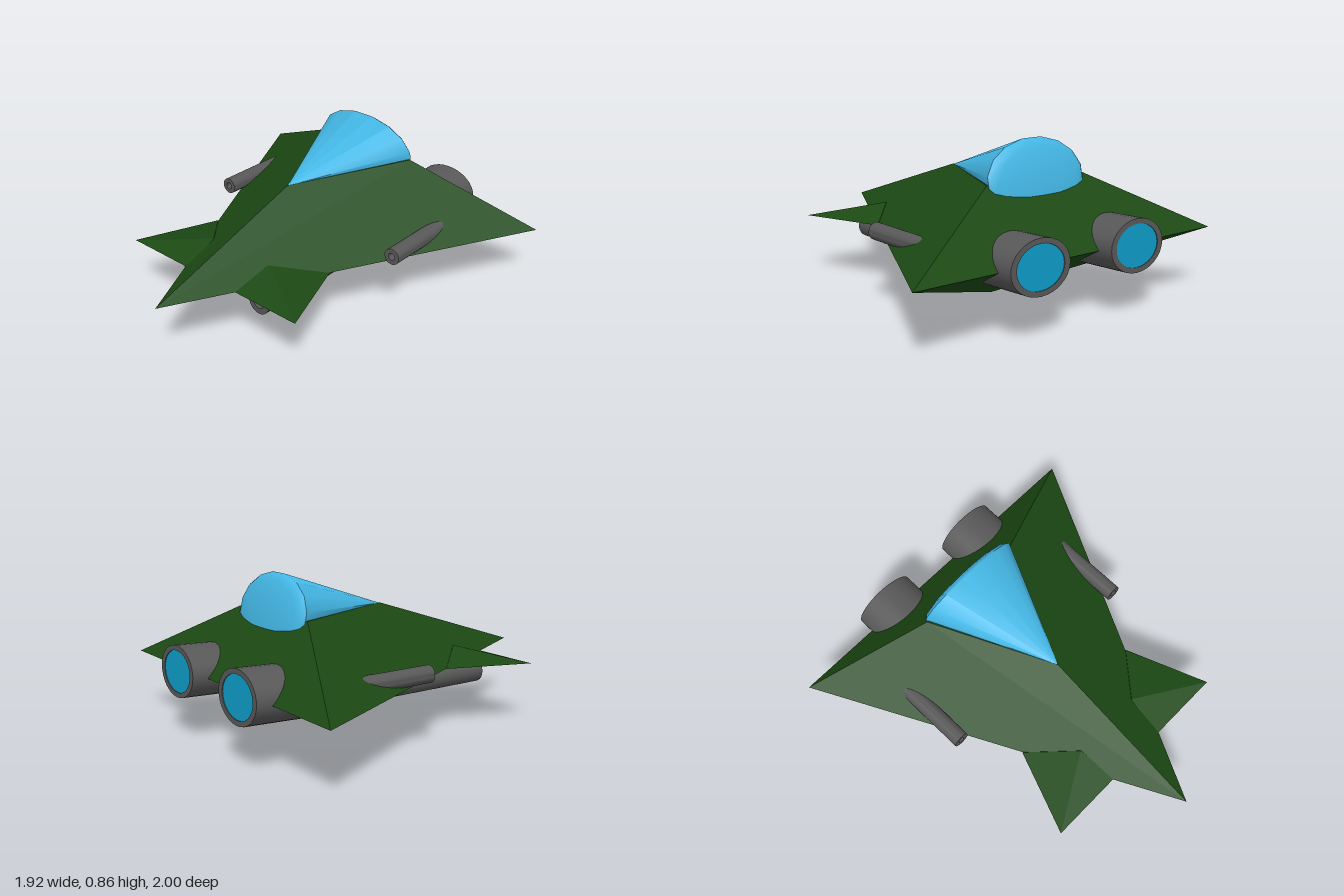
import * as THREE from 'three';
import { ConvexGeometry } from 'three/addons/geometries/ConvexGeometry.js';
import { toCreasedNormals } from 'three/addons/utils/BufferGeometryUtils.js';

const mat = (color) => new THREE.MeshStandardMaterial({ color });
const green = mat(0x1c4a14);
const glass = mat(0x44b8e6);
const metal = mat(0x585858);
const black = mat(0x080808);
const glow = mat(0x0e9cc8);

const v2 = (pairs) => pairs.map(([x, y]) => new THREE.Vector2(x, y));

function part(name, geometry, material) {
  const mesh = new THREE.Mesh(geometry, material);
  mesh.name = name;
  return mesh;
}

// Faceted solid spanned by its corner points
function solid(name, corners) {
  return part(name, new ConvexGeometry(corners.map((c) => new THREE.Vector3(...c))), green);
}

// Round barrel along +z, mouth at the origin, with an inset disc in its bore
function barrel(name, radius, bore, length, depth, fill) {
  const group = new THREE.Group();
  group.name = name;
  const profile = v2([[0, -length], [radius, -length], [radius, 0], [bore, 0], [bore, -depth]]);
  const shell = toCreasedNormals(new THREE.LatheGeometry(profile, 32).rotateX(Math.PI / 2), 0.6);
  const disc = new THREE.CircleGeometry(bore, 32).translate(0, 0, -depth);
  group.add(part(name + 'Shell', shell, metal), part(name + 'Bore', disc, fill));
  return group;
}

export function createModel() {
  const model = new THREE.Group();
  model.name = 'spaceFighter';

  // Wedge hull: nose, wing tips, deck triangle and keel point
  model.add(solid('hull', [
    [0, 0.335, 1], [0.96, 0.335, -0.91], [-0.96, 0.335, -0.91],
    [0, 0.645, 0.06], [0.31, 0.66, -0.6], [-0.31, 0.66, -0.6], [0, 0, -0.27],
  ]));

  // Canopy: cone opening backwards with a shallow domed end, skewed onto the deck
  const canopy = new THREE.LatheGeometry(
    v2([[0, 0], [1, 1], [0.94, 1.025], [0.8, 1.042], [0.5, 1.06], [0, 1.067]]), 16, Math.PI / 16);
  canopy.applyMatrix4(new THREE.Matrix4().makeBasis(
    new THREE.Vector3(0.312, 0, 0),
    new THREE.Vector3(0, 0.02, -0.67),
    new THREE.Vector3(0, 0.2, 0.045),
  ).setPosition(0, 0.642, 0.06));
  model.add(part('canopy', toCreasedNormals(canopy, 0.9), glass));

  for (const [side, s] of [['left', 1], ['right', -1]]) {
    // Small forward wing
    model.add(solid(side + 'ForeWing', [
      [s * 0.58, 0.335, 0.64], [s * 0.17, 0.335, 0.64], [s * 0.41, 0.335, 0.19],
      [s * 0.2, 0.398, 0.42], [s * 0.1, 0.335, 0.4],
    ]));

    // Upper and lower guns
    const upper = barrel(side + 'UpperGun', 0.045, 0.02, 0.5, 0.05, black);
    upper.position.set(s * 0.595, 0.385, -0.08);
    const lower = barrel(side + 'LowerGun', 0.066, 0.034, 0.75, 0.05, black);
    lower.position.set(s * 0.243, 0.253, 0.54);

    // Oval engine, facing back and tilted slightly upwards
    const engine = barrel(side + 'Engine', 0.18, 0.145, 0.42, 0.004, glow);
    engine.scale.y = 0.75;
    engine.rotation.set(0.04, Math.PI, 0);
    engine.position.set(s * 0.315, 0.35, -0.993);
    model.add(upper, lower, engine);
  }
  return model;
}
